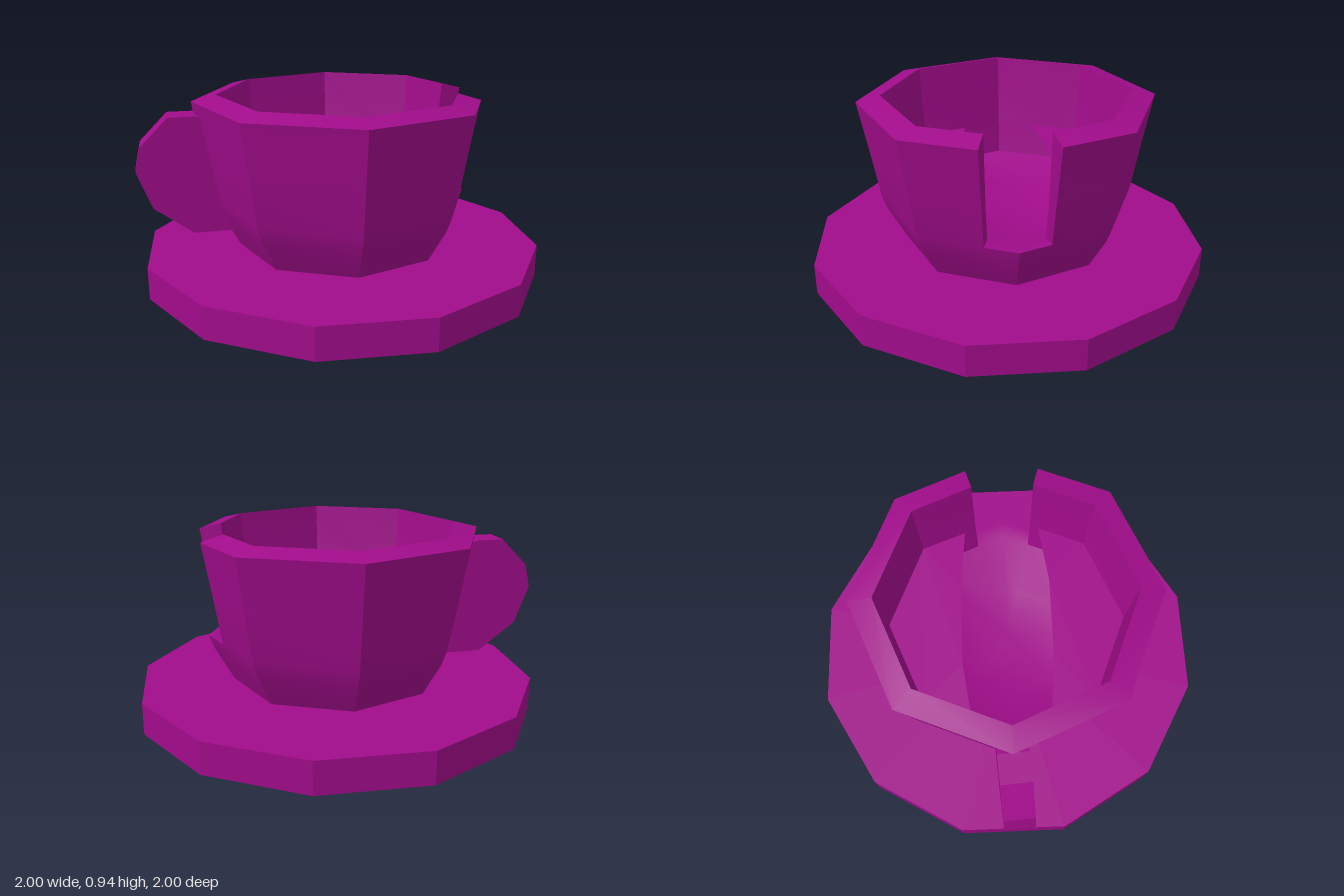
import * as THREE from 'three';
import { toCreasedNormals } from 'three/addons/utils/BufferGeometryUtils.js';

const material = new THREE.MeshStandardMaterial({ color: 0xa00c8a, side: THREE.DoubleSide });
const RAD = Math.PI / 180;
const TURN = 8; // angle of the first cup corner, in degrees from +x towards +z

// Point on an eight-sided ring of corner radius r
function ringPoint(deg, r, y) {
  const fromMid = ((deg - TURN + 720) % 45) - 22.5;
  const d = r * Math.cos(22.5 * RAD) / Math.cos(fromMid * RAD);
  return [d * Math.cos(deg * RAD), y, d * Math.sin(deg * RAD)];
}

function makeCup() {
  // Wall profiles as [radius, height]
  const outerLow = [[0.525, 0.16], [0.62, 0.33], [0.645, 0.4]];
  const outerHigh = [[0.645, 0.4], [0.69, 0.65], [0.74, 0.91]];
  const innerHigh = [[0.56, 0.4], [0.59, 0.57], [0.62, 0.94]];
  const floor = [[0.56, 0.4], [0.31, 0.3], [0, 0.3]];
  const full = [...outerLow, ...outerHigh.slice(1), ...[...innerHigh].reverse(), ...floor.slice(1)];
  const cut = [...outerLow, ...floor];

  const pos = [];
  const tri = (a, b, c) => pos.push(...a, ...b, ...c);
  const quad = (a, b, c, d) => { tri(a, b, c); tri(a, c, d); };

  // Walk round the corners; the slot lies between 308 and 338 degrees
  const angles = [-22, 8, 53, 98, 143, 188, 233, 278, 308, 323, 338];
  for (let k = 0; k < angles.length - 1; k++) {
    const a = angles[k], b = angles[k + 1];
    const profile = a >= 308 ? cut : full;
    for (let i = 0; i < profile.length - 1; i++) {
      const [p, q] = [profile[i], profile[i + 1]];
      const pa = ringPoint(a, ...p), pb = ringPoint(b, ...p);
      const qa = ringPoint(a, ...q), qb = ringPoint(b, ...q);
      if (q[0] === 0) tri(pa, qa, pb);
      else quad(pa, qa, qb, pb);
    }
  }
  // Side faces of the slot
  for (let i = 0; i < 2; i++) {
    const corners = (deg) => [outerHigh[i], innerHigh[i], innerHigh[i + 1], outerHigh[i + 1]]
      .map((p) => ringPoint(deg, ...p));
    quad(...corners(338));
    quad(...corners(308).reverse());
  }
  const geo = new THREE.BufferGeometry();
  geo.setAttribute('position', new THREE.Float32BufferAttribute(pos, 3));
  return toCreasedNormals(geo, 0.5);
}

// One half of the drink surface, open along the line from slot to handle
function makeLiquid() {
  const shape = new THREE.Shape();
  const wall = [278, 233, 188].map((deg) => {
    const p = ringPoint(deg, 0.59, 0);
    return [p[0], p[2]];
  });
  const points = [[0.28, -0.46], ...wall, [-0.53, 0.17], [-0.31, -0.05], [0.02, -0.3]];
  shape.setFromPoints(points.map(([x, z]) => new THREE.Vector2(x, -z)));
  return new THREE.ShapeGeometry(shape).rotateX(-Math.PI / 2);
}

// Solid handle, drawn as distance from the cup axis against height
function makeHandle() {
  const outline = [[0.63, 0.83], [0.72, 0.85], [0.855, 0.85], [0.993, 0.71], [1.02, 0.59],
    [0.947, 0.4], [0.756, 0.26], [0.5, 0.26], [0.6, 0.4]];
  const shape = new THREE.Shape(outline.map(([r, y]) => new THREE.Vector2(r, y)));
  const geo = new THREE.ExtrudeGeometry(shape, { depth: 0.145, bevelEnabled: false });
  return geo.translate(0, 0, 0.05 - 0.0725).rotateY(-139 * RAD);
}

export function createModel() {
  const group = new THREE.Group();
  const add = (name, geo) => {
    const mesh = new THREE.Mesh(geo, material);
    mesh.name = name;
    group.add(mesh);
    return mesh;
  };

  // Twelve-sided saucer
  const saucer = new THREE.CylinderGeometry(1.01, 1.01, 0.16, 12, 1, false, 22 * RAD);
  add('saucer', toCreasedNormals(saucer.translate(0, 0.08, 0), 0.3));

  add('cup', makeCup());
  add('handle', makeHandle());

  // Two mirrored halves of the drink
  for (let i = 0; i < 2; i++) {
    const half = add(i ? 'liquidFront' : 'liquidBack', makeLiquid());
    half.position.y = 0.57;
    half.rotation.y = i * Math.PI;
  }
  return group;
}
